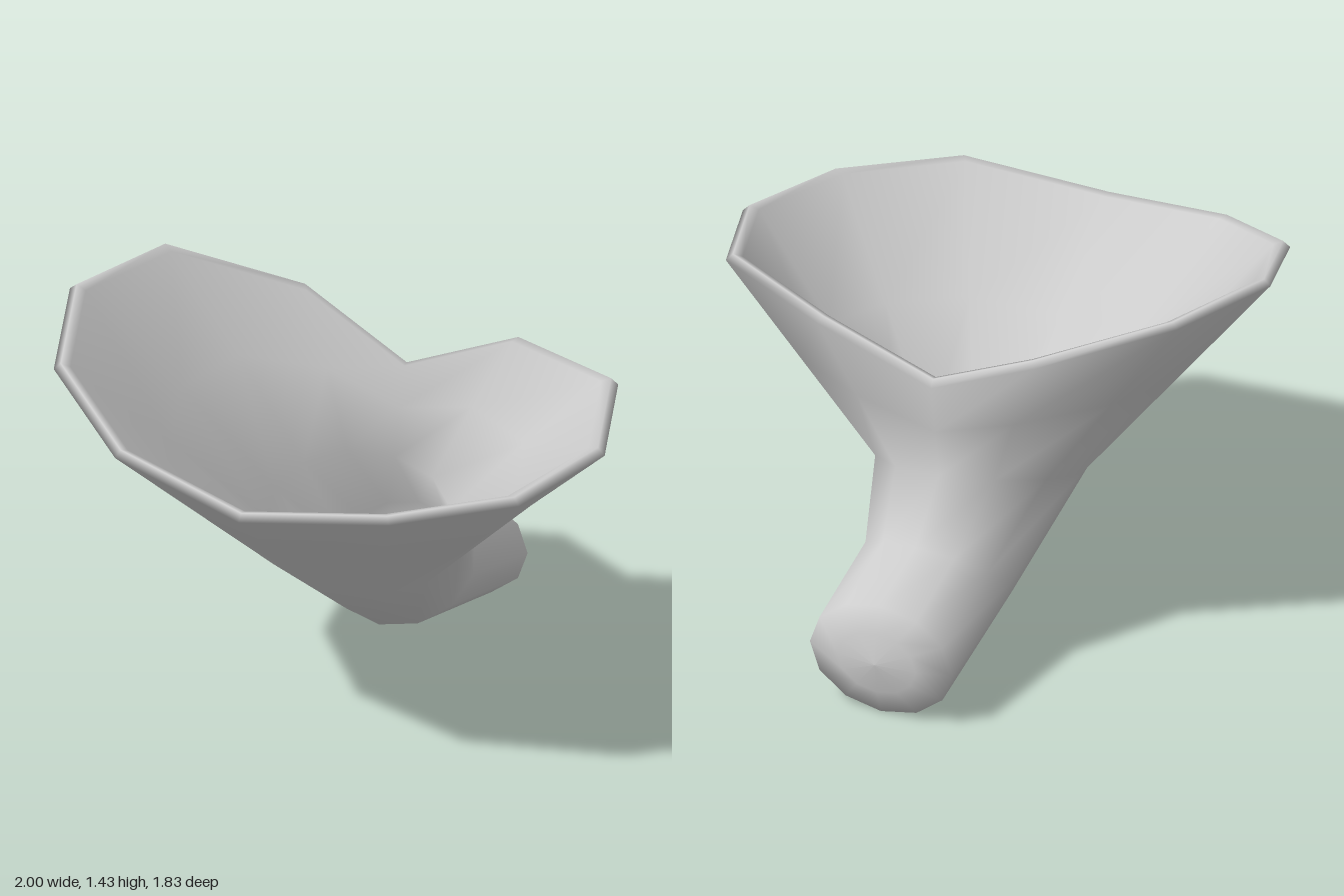
import * as THREE from 'three';

const SIDES = 12;
const V = (x, y, z) => new THREE.Vector3(x, y, z);

// Tilted oval: centre, vector to the model's left, vector to the front/underside
function oval(centre, side, front) {
  return Array.from({ length: SIDES }, (_, k) => {
    const a = (k / SIDES) * Math.PI * 2;
    return centre.clone().addScaledVector(side, Math.sin(a)).addScaledVector(front, Math.cos(a));
  });
}

const blend = (r, s, t) => r.map((p, k) => p.clone().lerp(s[k], t));

// Shrink a ring around its own middle, then shift it
function inset(ring, scale, shift = V(0, 0, 0)) {
  const mid = ring.reduce((m, p) => m.add(p), V(0, 0, 0)).divideScalar(SIDES);
  return ring.map((p) => p.clone().sub(mid).multiplyScalar(scale).add(mid).add(shift));
}

// Smooth skin over a list of rings
function loft(rings) {
  const index = [];
  for (let r = 0; r < rings.length - 1; r++) {
    for (let k = 0; k < SIDES; k++) {
      const n = (k + 1) % SIDES;
      const a = r * SIDES + k, b = r * SIDES + n;
      index.push(a, b, b + SIDES, a, b + SIDES, a + SIDES);
    }
  }
  const geometry = new THREE.BufferGeometry().setFromPoints(rings.flat());
  geometry.setIndex(index);
  geometry.computeVertexNormals();
  return geometry;
}

export function createModel() {
  const group = new THREE.Group();
  group.name = 'flaredHorn';

  // Uneven flared rim, from the front point round by the left
  const rim = [
    V(0, 1.1, 0.91), V(0.52, 1.16, 0.82), V(0.87, 1.17, 0.52), V(1, 1.2, 0.11),
    V(0.86, 1.25, -0.3), V(0.41, 1.22, -0.5), V(0, 1.05, -0.46), V(-0.41, 1.25, -0.5),
    V(-0.85, 1.41, -0.29), V(-1, 1.41, 0.12), V(-0.87, 1.32, 0.53), V(-0.51, 1.19, 0.81),
  ];

  // Stub end, elbow and throat
  const stub = oval(V(-0.015, 0.205, -0.87), V(0.27, 0, 0), V(0, -0.205, 0));
  const elbow = oval(V(-0.01, 0.335, -0.42), V(0.27, 0, 0), V(0, -0.165, 0.18));
  const throat = oval(V(-0.03, 0.61, -0.13), V(0.375, -0.04, 0), V(0, -0.105, 0.33));
  const flare = blend(throat, rim, 0.5);

  // Rounded lip turning inwards
  const lip = inset(rim, 0.975, V(0, 0.025, 0));
  const innerRim = inset(rim, 0.94, V(0, 0.015, 0));

  const shell = new THREE.Mesh(
    loft([
      inset(stub, 0.001, V(0, 0, -0.05)), // domed stub cap
      inset(stub, 0.55, V(0, 0, -0.034)),
      stub, elbow, throat, flare, rim, lip, innerRim,
      inset(flare, 0.91, V(0, 0.03, 0)), // inside of the bowl
      inset(throat, 0.85, V(0, 0.03, 0)),
      inset(elbow, 0.8, V(0, 0.02, 0)),
      inset(elbow, 0.001, V(0, -0.03, -0.08)),
    ]),
    new THREE.MeshStandardMaterial({ color: 0xcccccc }),
  );
  shell.name = 'hornShell';
  group.add(shell);
  return group;
}
